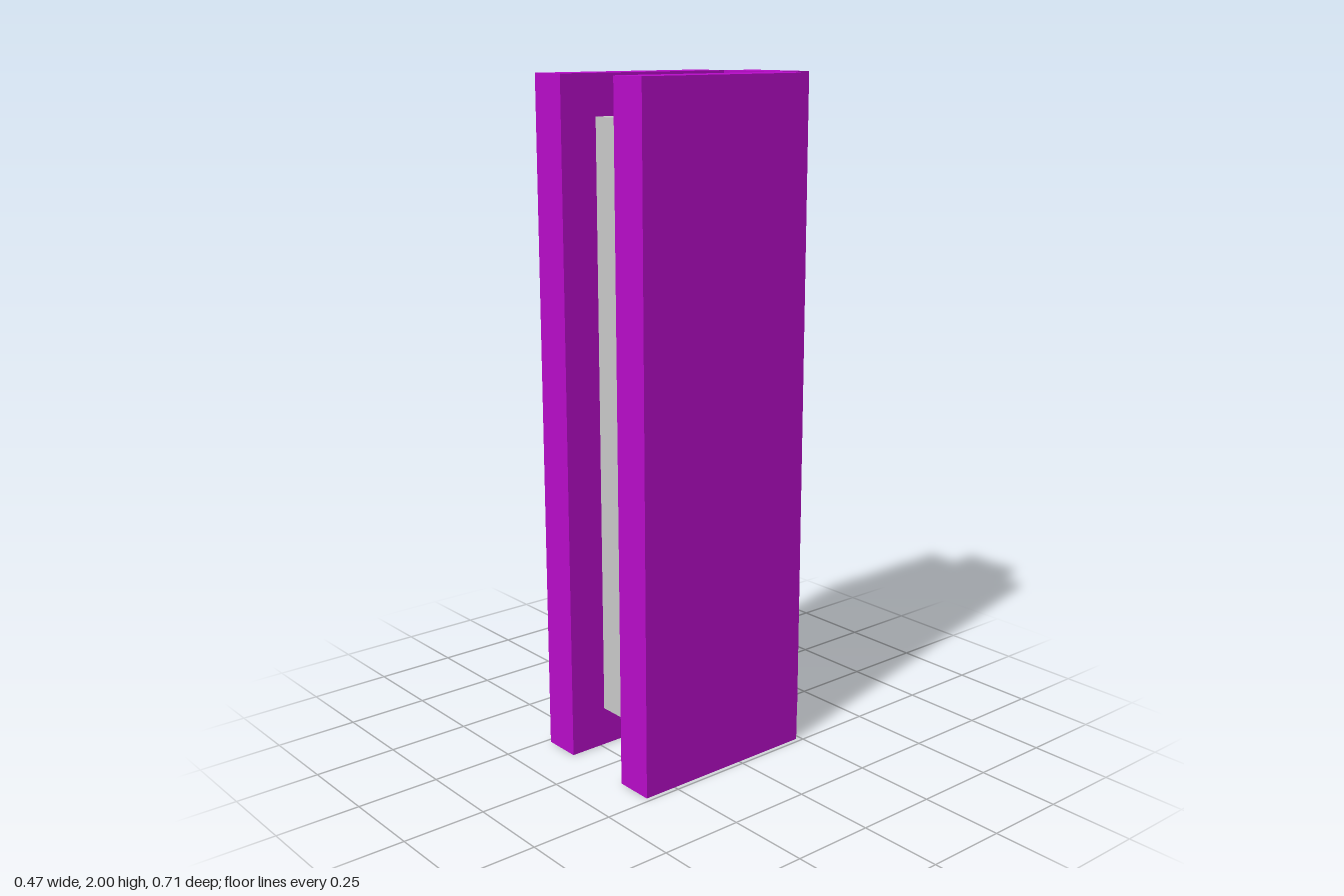
import * as THREE from 'three';

// Everything sits on a grid of 17 units to the full height.
const U = 2 / 17;

export function createModel() {
  const group = new THREE.Group();
  const magenta = new THREE.MeshStandardMaterial({ name: 'magenta', color: 0xb80cc9 });
  const lightGrey = new THREE.MeshStandardMaterial({ name: 'lightGrey', color: 0xc9c9c9 });

  // Box given by its size and centre in grid units
  const addBox = (name, material, [w, h, d], [x, y, z]) => {
    const mesh = new THREE.Mesh(new THREE.BoxGeometry(w * U, h * U, d * U), material);
    mesh.name = name;
    mesh.position.set(x * U, y * U, z * U);
    group.add(mesh);
  };

  // Mirrored side panels
  for (const [name, side] of [['leftPanel', 1], ['rightPanel', -1]]) {
    addBox(name, magenta, [1, 17, 5], [side * 1.5, 8.5, 0.5]);
  }

  // Back panel, behind the gap between the sides
  addBox('backPanel', magenta, [2, 17, 1], [0, 8.5, -2.5]);

  // Inner core, set in from the top, bottom and front
  addBox('core', lightGrey, [2, 15, 4], [0, 8.5, 0]);

  return group;
}
